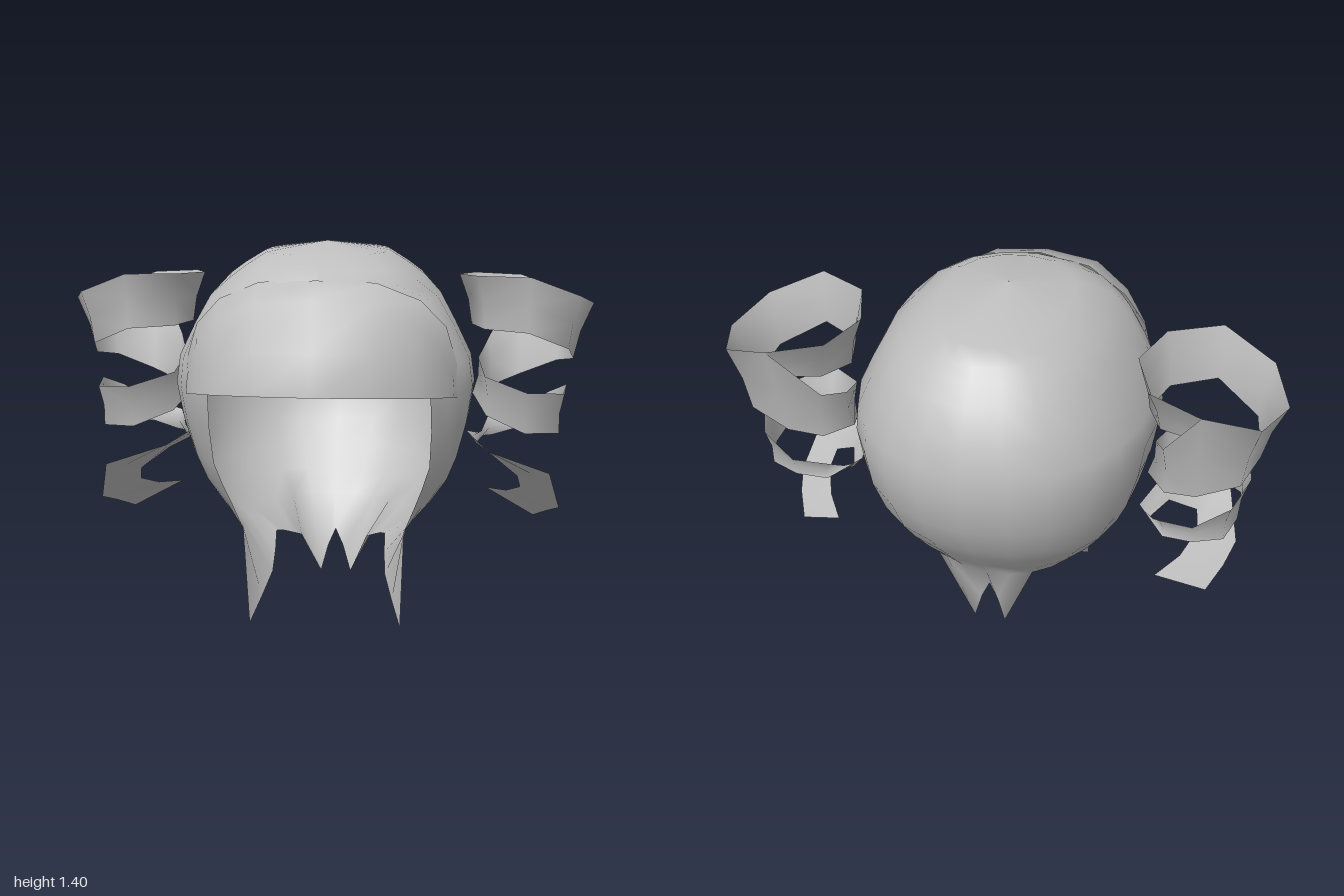
import * as THREE from 'three';

const hair = new THREE.MeshStandardMaterial({ color: 0xc0c0c0, side: THREE.DoubleSide });
hair.name = 'light grey hair';

// Skin a sheet over rows of points that all have the same length
function sheet(name, rows) {
  const n = rows[0].length, index = [];
  for (let r = 0; r < rows.length - 1; r++) {
    for (let c = 0; c < n - 1; c++) {
      const a = r * n + c, b = a + n;
      index.push(a, a + 1, b, a + 1, b + 1, b);
    }
  }
  const g = new THREE.BufferGeometry();
  g.setAttribute('position', new THREE.Float32BufferAttribute(rows.flat(2), 3));
  g.setIndex(index);
  g.computeVertexNormals();
  const mesh = new THREE.Mesh(g, hair);
  mesh.name = name;
  return mesh;
}

// Complete a half row (edge to centre) with its mirror image
function mirrored(half) {
  const other = half.slice(0, -1).reverse().map(([x, y, z]) => [-x, y, z]);
  return [...half, ...other];
}

// Cap: height, half width, z of widest point, back z, front edge x and z
const capLevels = [
  [0.35, 0.315, -0.02, -0.35, 0.30, 0.17],
  [0.44, 0.40, -0.01, -0.42, 0.335, 0.18],
  [0.53, 0.46, 0, -0.49, 0.365, 0.22],
  [0.62, 0.495, 0, -0.555, 0.39, 0.255],
  [0.76, 0.53, 0.02, -0.625, 0.395, 0.305],
  [0.90, 0.55, 0.03, -0.65, 0.39, 0.355],
  [1.00, 0.535, 0.02, -0.645, 0.39, 0.36],
  [1.12, 0.475, 0, -0.62, 0.36, 0.37],
  [1.22, 0.42, -0.02, -0.555, 0.26, 0.395],
  [1.285, 0.36, -0.03, -0.505, 0, 0.425],
  [1.325, 0.305, -0.03, -0.47, 0, 0.35],
  [1.37, 0.23, -0.05, -0.42, 0, 0.24],
  [1.405, 0.001, -0.03, -0.031, 0, -0.029],
];

// Jagged lower edge of the cap, from the front lock to the middle of the back
const hem = [
  [0.28, 0.005, 0.25], [0.245, 0.08, 0.16], [0.215, 0.15, 0.07], [0.21, 0.22, 0.02],
  [0.21, 0.285, -0.02], [0.19, 0.27, -0.07], [0.165, 0.245, -0.13], [0.13, 0.22, -0.18],
  [0.06, 0.04, -0.27], [0.03, 0.15, -0.27], [0, 0.22, -0.27],
];

function capRow([y, w, zc, zb, xf, zf]) {
  const half = [];
  const start = Math.acos(xf / w);
  const depth = (zf - zc) / Math.sin(start) ** 0.75;
  for (let i = 0; i < 4; i++) {
    const t = start * (1 - i / 4);
    half.push([w * Math.cos(t), y, zc + depth * Math.sin(t) ** 0.75]);
  }
  for (let i = 0; i <= 6; i++) {
    const t = (i / 6) * Math.PI / 2;
    const x = i === 6 ? 0 : w * Math.cos(t) ** 0.92;
    half.push([x, y, zc + (zb - zc) * Math.sin(t) ** 0.92]);
  }
  return mirrored(half);
}

// Fringe: rows from its upper seam to its lower rim, each from centre to corner
const corner = [0.485, 0.88, 0.26];
const fringeRows = [
  [[0, 1.30, 0.405], [0.2, 1.29, 0.365], [0.35, 1.225, 0.305], [0.44, 1.13, 0.265], [0.48, 1.0, 0.26], corner],
  [[0, 1.25, 0.54], [0.2, 1.235, 0.52], [0.335, 1.17, 0.45], [0.42, 1.08, 0.38], [0.465, 0.97, 0.31], corner],
  [[0, 1.08, 0.63], [0.2, 1.075, 0.60], [0.34, 1.04, 0.51], [0.42, 0.99, 0.415], [0.47, 0.93, 0.32], corner],
  [[0, 0.945, 0.655], [0.2, 0.94, 0.62], [0.345, 0.925, 0.53], [0.43, 0.905, 0.41], [0.47, 0.89, 0.33], corner],
];

// Ringlet: quarter turns, upper edge y and radius, lower edge y and radius
const curlKeys = [
  [0, 1.245, 0.26, 1.12, 0.21],
  [0.5, 1.26, 0.26, 1.10, 0.20],
  [1, 1.27, 0.25, 1.08, 0.20],
  [1.5, 1.28, 0.26, 1.08, 0.22],
  [2, 1.285, 0.27, 1.08, 0.25],
  [2.5, 1.21, 0.27, 1.01, 0.22],
  [3, 1.165, 0.26, 0.95, 0.19],
  [3.5, 1.185, 0.265, 0.92, 0.20],
  [4, 1.245, 0.26, 0.86, 0.16],
  [4.5, 1.01, 0.18, 0.82, 0.16],
  [5, 0.95, 0.17, 0.81, 0.19],
  [5.5, 0.90, 0.21, 0.75, 0.20],
  [6, 0.865, 0.28, 0.70, 0.22],
  [6.5, 0.84, 0.21, 0.685, 0.19],
  [7, 0.85, 0.17, 0.67, 0.14],
  [7.5, 0.80, 0.17, 0.655, 0.15],
  [8, 0.725, 0.16, 0.645, 0.14],
  [8.5, 0.70, 0.17, 0.62, 0.15],
];

// Flat loose end of the ringlet: upper inner point, then outer point
const curlTail = [
  [[0.57, 0.61, -0.19], [0.53, 0.66, -0.19]],
  [[0.62, 0.60, -0.06], [0.60, 0.645, 0.09]],
  [[0.72, 0.53, 0], [0.83, 0.57, 0.11]],
  [[0.735, 0.475, -0.05], [0.88, 0.41, 0]],
  [[0.69, 0.43, -0.16], [0.85, 0.37, -0.10]],
  [[0.615, 0.41, -0.27], [0.80, 0.32, -0.20]],
];

function curl(name, side) {
  const turns = curlKeys.map(([q, yTop, rTop, yLow, rLow]) => {
    const a = q * Math.PI / 2;
    const point = (y, r) => [0.74 - r * Math.sin(a), y, -0.19 - r * Math.cos(a)];
    return [point(yTop, rTop), point((yTop + yLow) / 2, (rTop + rLow) / 2 - 0.01), point(yLow, rLow)];
  });
  const tail = curlTail.map(([inner, outer]) => [inner, inner.map((v, k) => (v + outer[k]) / 2), outer]);
  const rows = [...turns, ...tail].map((row) => row.map(([x, y, z]) => [side * x, y, z]));
  return sheet(name, rows);
}

export function createModel() {
  const model = new THREE.Group();
  model.name = 'hairstyle';

  // The locks at the hem lean slightly to one side
  const hemRow = mirrored(hem).map(([x, y, z]) => [x + 0.012, y, z]);
  model.add(sheet('hairCap', [hemRow, ...capLevels.map(capRow)]));

  const fringe = fringeRows.map((row) => mirrored([...row].reverse()));
  model.add(sheet('fringe', fringe.reverse()));

  model.add(curl('leftCurl', 1), curl('rightCurl', -1));
  return model;
}
